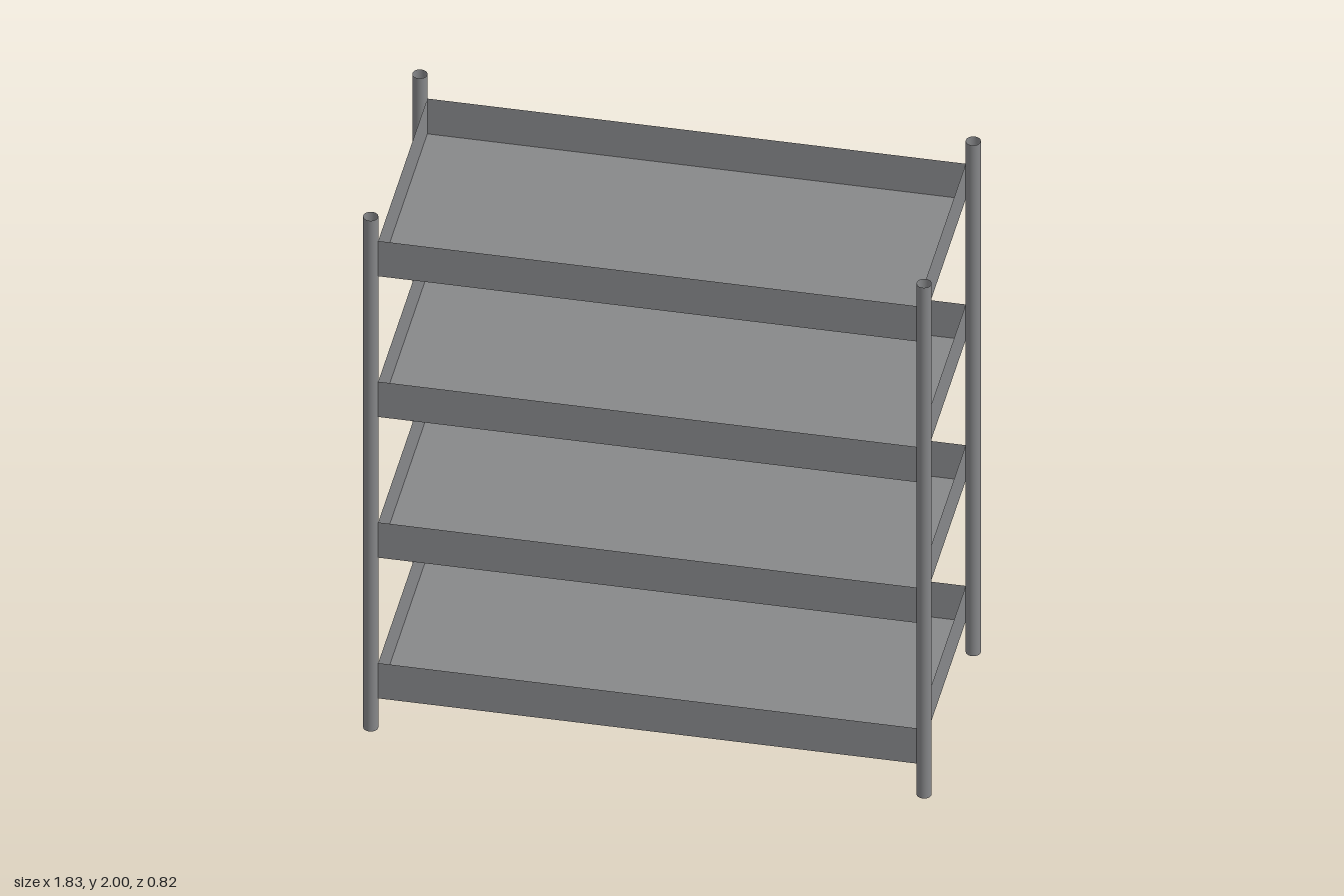
import * as THREE from 'three';

const HALF_X = 0.867, HALF_Z = 0.387, LIP = 0.138;
const POST_X = 0.891, POST_R = 0.024;

export function createModel() {
  const metal = new THREE.MeshStandardMaterial({ color: 0x87888a, side: THREE.DoubleSide });
  metal.name = 'grey metal';
  const model = new THREE.Group();
  model.name = 'shelfRack';

  const add = (parent, name, geometry, x, y, z) => {
    const mesh = new THREE.Mesh(geometry, metal);
    mesh.name = name;
    mesh.position.set(x, y, z);
    parent.add(mesh);
    return mesh;
  };

  // Four open tubular posts at the corners
  const postGeo = new THREE.CylinderGeometry(POST_R, POST_R, 2, 24, 1, true);
  for (const sx of [-1, 1]) {
    for (const sz of [-1, 1]) {
      const name = (sz > 0 ? 'front' : 'back') + (sx > 0 ? 'Left' : 'Right') + 'Post';
      add(model, name, postGeo, sx * POST_X, 1, sz * HALF_Z);
    }
  }

  // Four sheet-metal trays: a floor with an upright lip on each side
  const floorGeo = new THREE.PlaneGeometry(2 * HALF_X, 2 * HALF_Z).rotateX(-Math.PI / 2);
  const longLip = new THREE.PlaneGeometry(2 * HALF_X, LIP);
  const shortLip = new THREE.PlaneGeometry(2 * HALF_Z, LIP);
  for (let i = 0; i < 4; i++) {
    const tray = new THREE.Group();
    tray.name = 'tray' + (i + 1);
    tray.position.y = 0.116 + i * 0.551;
    add(tray, 'trayFloor', floorGeo, 0, 0, 0);
    for (const s of [-1, 1]) {
      add(tray, s > 0 ? 'frontLip' : 'backLip', longLip, 0, LIP / 2, s * HALF_Z)
        .rotation.y = s > 0 ? 0 : Math.PI;
      add(tray, s > 0 ? 'leftLip' : 'rightLip', shortLip, s * HALF_X, LIP / 2, 0)
        .rotation.y = s * Math.PI / 2;
    }
    model.add(tray);
  }
  return model;
}
